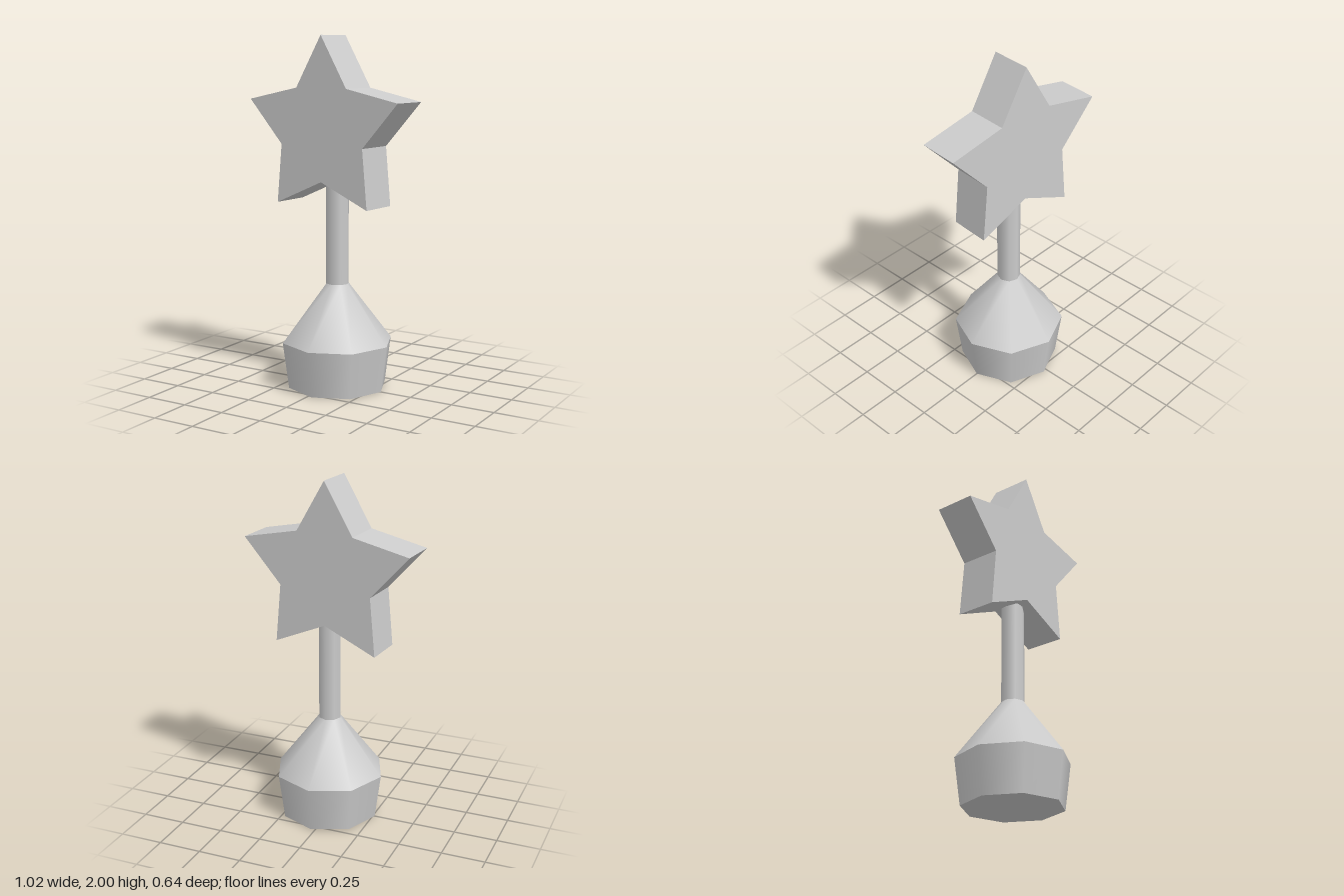
import * as THREE from 'three';

export function createModel() {
  const group = new THREE.Group();
  const material = new THREE.MeshStandardMaterial({ color: 0xcccccc });
  const add = (name, geometry) => {
    const mesh = new THREE.Mesh(geometry, material);
    mesh.name = name;
    group.add(mesh);
    return mesh;
  };

  // Eight-sided stand: tapered foot, cone shoulder and pole
  const stand = (name, rBottom, rTop, y0, y1, open) => {
    const mesh = add(name, new THREE.CylinderGeometry(rTop, rBottom, y1 - y0, 8, 1, open));
    mesh.position.set(0.025, (y0 + y1) / 2, 0);
  };
  stand('foot', 0.286, 0.321, 0, 0.265, false);
  stand('shoulder', 0.321, 0.066, 0.265, 0.6, true);
  stand('pole', 0.066, 0.066, 0.6, 1.25, false);

  // Five-pointed star: right half of the outline, mirrored for the left
  const half = [[0, 2], [0.17, 1.71], [0.502, 1.64], [0.277, 1.39], [0.308, 1.055], [0, 1.19]];
  const mirrored = half.slice(1, -1).reverse().map(([x, y]) => [-x, y]);
  const outline = [...half, ...mirrored].map(([x, y]) => new THREE.Vector2(x, y));
  const depth = 0.236;
  const starGeometry = new THREE.ExtrudeGeometry(new THREE.Shape(outline), { depth, bevelEnabled: false });
  starGeometry.translate(0, 0, -depth / 2);
  const star = add('star', starGeometry);
  star.position.z = 0.005;
  star.rotation.y = -0.086; // turned slightly on the pole

  return group;
}
